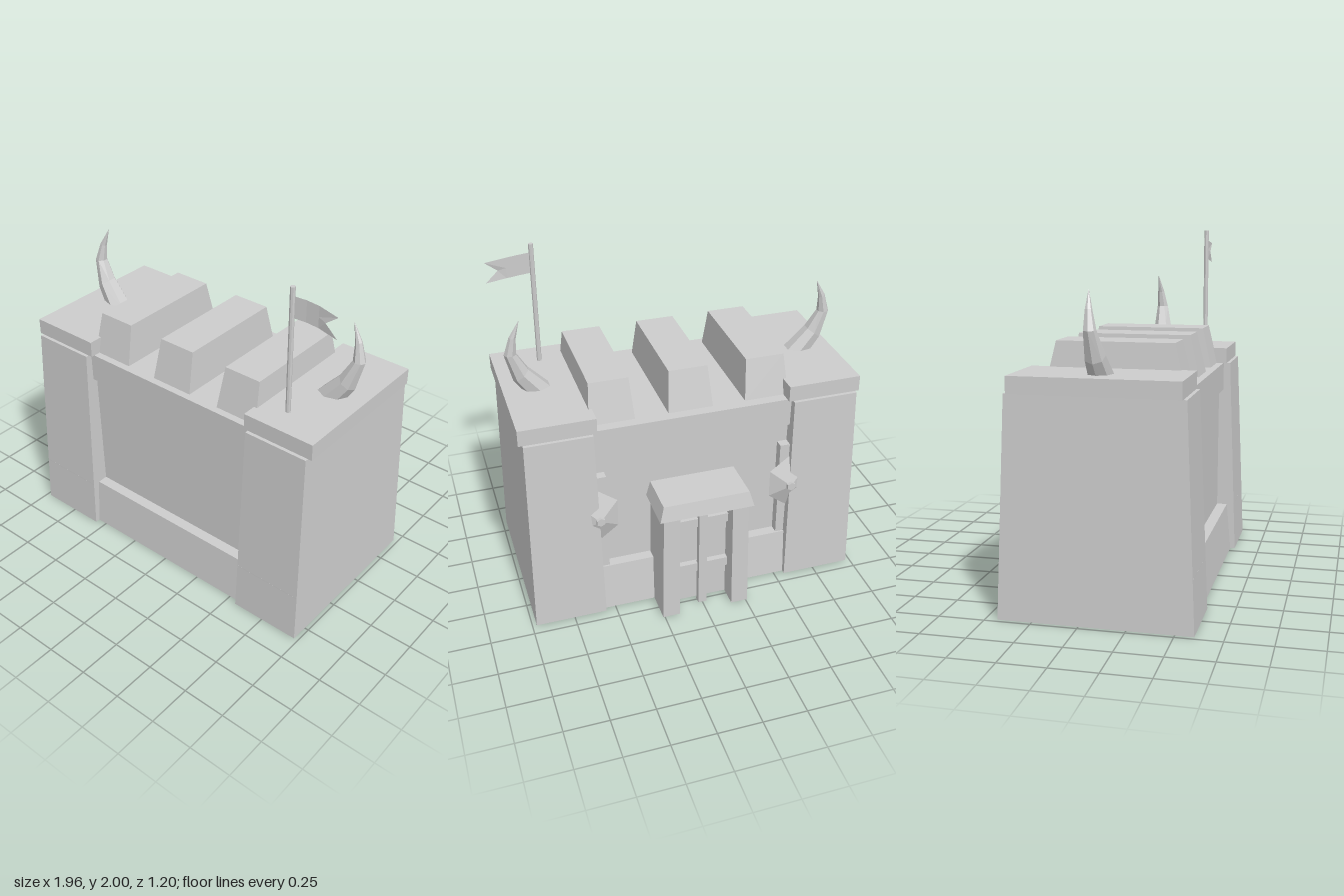
import * as THREE from 'three';

const stone = new THREE.MeshStandardMaterial({ color: 0xcccccc, side: THREE.DoubleSide });
stone.name = 'stone grey';

// Flat-faced geometry, one normal per triangle
function faceted(geo) {
  const g = geo.index ? geo.toNonIndexed() : geo;
  g.computeVertexNormals();
  return g;
}

function add(parent, name, geo) {
  const mesh = new THREE.Mesh(faceted(geo), stone);
  mesh.name = name;
  parent.add(mesh);
}

// Block tapering from a bottom to a top rectangle, each [x0, x1, z0, z1]; open = no underside
function block(y0, y1, bottom, top = bottom, open = false) {
  const g = new THREE.BoxGeometry(1, 1, 1);
  const p = g.attributes.position;
  for (let i = 0; i < p.count; i++) {
    const r = p.getY(i) > 0 ? top : bottom;
    p.setXYZ(i, p.getX(i) < 0 ? r[0] : r[1], p.getY(i) > 0 ? y1 : y0, p.getZ(i) < 0 ? r[2] : r[3]);
  }
  if (open) g.setIndex(Array.from(g.index.array).filter((v, i) => i < 18 || i >= 24));
  return g;
}

// Mirror an x range for the other side
const side = (s, [a, b, c, d]) => (s > 0 ? [a, b, c, d] : [-b, -a, c, d]);

// Curved horn from seven-sided rings: [x, y, z, radius, tilt]
function hornGeometry(s) {
  const rings = [
    [0.762, 1.235, 0.08, 0.072, 0.75],
    [0.87, 1.375, 0.066, 0.056, 0.65],
    [0.921, 1.51, 0.053, 0.035, 0.05],
    [0.903, 1.61, 0.044, 0.02, -0.3],
    [0.863, 1.71, 0.035, 0.001, -0.4],
  ];
  const n = 7, pos = [], idx = [];
  for (const [x, y, z, r, tilt] of rings) {
    for (let i = 0; i < n; i++) {
      const a = (i / n) * Math.PI * 2, u = Math.cos(a) * r;
      pos.push(s * (x + u * Math.cos(tilt)), y - u * Math.sin(tilt), z + Math.sin(a) * r);
    }
  }
  for (let k = 0; k < rings.length - 1; k++) {
    for (let i = 0; i < n; i++) {
      const a = k * n + i, b = k * n + (i + 1) % n, c = a + n, d = b + n;
      if (s > 0) idx.push(a, c, b, b, c, d);
      else idx.push(a, b, c, b, d, c);
    }
  }
  const g = new THREE.BufferGeometry();
  g.setAttribute('position', new THREE.Float32BufferAttribute(pos, 3));
  g.setIndex(idx);
  return g;
}

// Swallow-tailed cloth from columns: [x, top y, height, z]
function flagGeometry() {
  const columns = [
    [0.715, 1.95, 0.12, 0.37],
    [0.79, 1.947, 0.12, 0.36],
    [0.86, 1.94, 0.12, 0.357],
    [0.975, 1.92, 0.12, 0.366],
  ];
  const g = new THREE.PlaneGeometry(1, 1, 3, 2);
  for (let i = 0; i < 12; i++) {
    const row = Math.floor(i / 4);
    const [x, y, h, z] = columns[i % 4];
    const notch = i === 7 ? 0.07 : 0;
    g.attributes.position.setXYZ(i, x - notch, y - (h * row) / 2 + notch * 0.1, z);
  }
  return g;
}

export function createModel() {
  const model = new THREE.Group();
  model.name = 'gatehouse';

  // Side towers, caps, horns, and rear bosses
  for (const s of [1, -1]) {
    const tower = new THREE.Group();
    tower.name = s > 0 ? 'leftTower' : 'rightTower';
    model.add(tower);
    add(tower, 'towerBody', block(0, 1.187, side(s, [0.56, 0.975, -0.435, 0.6]), side(s, [0.578, 0.957, -0.39, 0.55]), true));
    add(tower, 'towerFloor', block(0.28, 0.29, side(s, [0.565, 0.97, -0.424, 0.588])));
    add(tower, 'towerCap', block(1.187, 1.28, side(s, [0.553, 0.98, -0.37, 0.53])));
    add(tower, 'horn', hornGeometry(s));
    add(tower, 'rearPilaster', block(0.28, 0.9, side(s, [0.515, 0.575, -0.37, -0.31])));

    // Pointed shield with a small knob
    const shield = new THREE.ConeGeometry(1, 0.06, 6, 1);
    shield.rotateX(-Math.PI / 2);
    shield.scale(0.13, 0.17, 1);
    shield.translate(s * 0.57, 0.65, -0.405);
    add(tower, 'shield', shield);
    const knob = new THREE.CylinderGeometry(0.026, 0.028, 0.03, 6);
    knob.rotateX(-Math.PI / 2);
    knob.translate(s * 0.57, 0.65, -0.427);
    add(tower, 'shieldKnob', knob);

    // Rear plinth beside the porch
    add(model, 'rearPlinth', block(0, 0.285, side(s, [0.25, 0.57, -0.41, -0.31]), side(s, [0.25, 0.57, -0.38, -0.31])));
  }

  // Curtain wall between the towers, recessed under its beam and behind its plinth
  add(model, 'curtainWall', block(0.25, 1.03, [-0.575, 0.575, -0.318, 0.483]));
  add(model, 'frontPlinth', block(0, 0.285, [-0.57, 0.57, 0.475, 0.572], [-0.57, 0.57, 0.475, 0.545]));
  add(model, 'roofBeam', block(1.018, 1.187, [-0.578, 0.578, -0.345, 0.51]));

  // Battlements
  for (const x of [-0.45, 0, 0.45]) {
    add(model, 'merlon', block(1.18, 1.42, [x - 0.13, x + 0.13, -0.285, 0.47], [x - 0.112, x + 0.112, -0.23, 0.415]));
  }

  // Rear porch with a door behind a grille
  const porch = new THREE.Group();
  porch.name = 'porch';
  model.add(porch);
  for (const s of [1, -1]) {
    add(porch, 'porchPost', block(0, 0.69, side(s, [0.16, 0.26, -0.59, -0.315]), side(s, [0.155, 0.25, -0.58, -0.315])));
  }
  add(porch, 'porchRoof', block(0.69, 0.78, [-0.275, 0.275, -0.6, -0.315], [-0.25, 0.25, -0.58, -0.315]));
  add(porch, 'door', block(0, 0.69, [-0.17, 0.17, -0.47, -0.45]));
  add(porch, 'grilleUpright', block(0, 0.69, [-0.025, 0.025, -0.53, -0.49]));
  for (const y of [0.25, 0.57]) {
    add(porch, 'grilleCrossbar', block(y - 0.028, y + 0.028, [-0.17, 0.17, -0.505, -0.465]));
  }

  // Flagpole and flag
  const pole = new THREE.CylinderGeometry(0.014, 0.014, 0.73, 8);
  pole.translate(0.713, 1.635, 0.37);
  add(model, 'flagpole', pole);
  add(model, 'flag', flagGeometry());

  return model;
}
